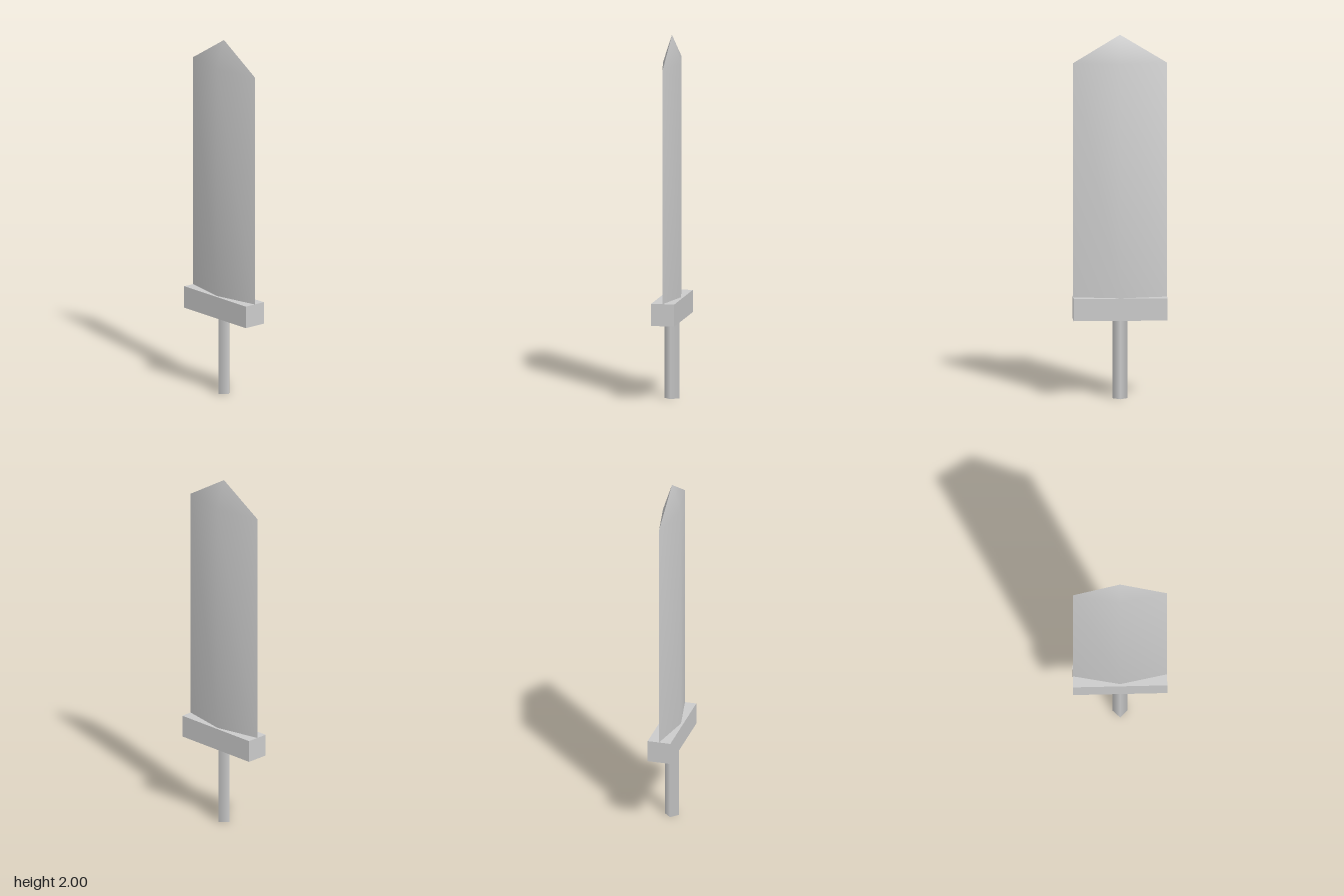
import * as THREE from 'three';
import { toCreasedNormals } from 'three/addons/utils/BufferGeometryUtils.js';

export function createModel() {
  const model = new THREE.Group();
  const material = new THREE.MeshStandardMaterial({ color: 0xcccccc });

  const add = (name, geometry, y = 0) => {
    const mesh = new THREE.Mesh(geometry, material);
    mesh.name = name;
    mesh.position.y = y;
    model.add(mesh);
  };

  // Blade: four-sided profile flattened to a diamond, soft ridge and sharp edges
  const profile = [[1, 0.555], [1, 1.845], [0, 2]].map(([r, y]) => new THREE.Vector2(r, y));
  const blade = new THREE.LatheGeometry(profile, 4).scale(0.051, 1, 0.256);
  add('blade', toCreasedNormals(blade, Math.PI / 4));

  // Guard: plain block across the width of the blade
  add('guard', new THREE.BoxGeometry(0.128, 0.122, 0.512), 0.496);

  // Grip: four-sided bar with smooth normals, corners on the axes
  add('grip', new THREE.CylinderGeometry(0.041, 0.041, 0.435, 4), 0.2175);

  return model;
}
